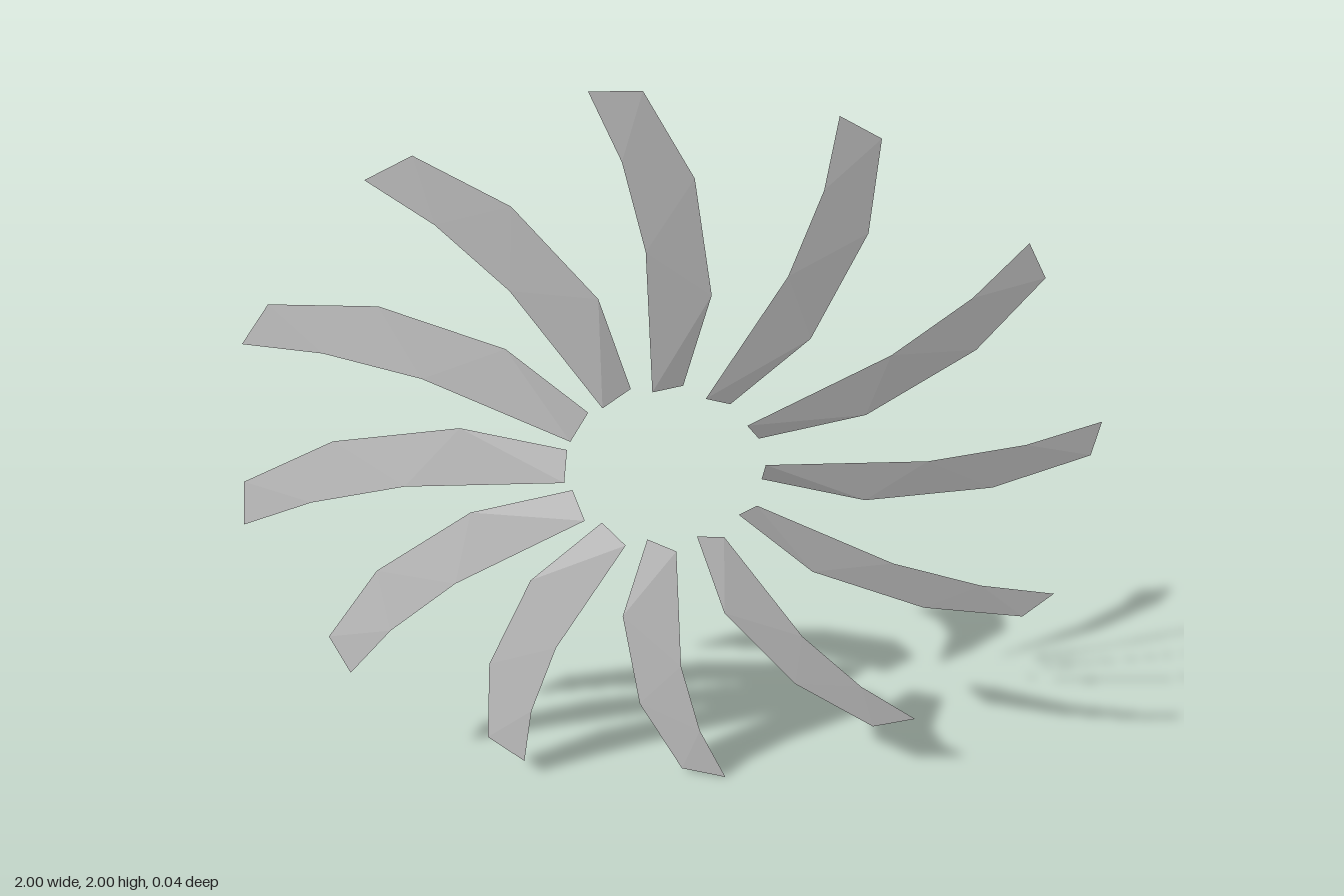
import * as THREE from 'three';

const BLADES = 12;

// Cross-sections from root to tip: leading edge then trailing edge, each [x, y, z]
const SECTIONS = [
  [[-0.028, 0.235, 0.018], [0.042, 0.228, -0.018]],
  [[-0.041, 0.610, 0.018], [0.104, 0.475, -0.018]],
  [[-0.090, 0.833, 0.018], [0.064, 0.773, -0.018]],
  [[-0.158, 1.000, 0.018], [-0.045, 0.990, -0.003]],
];

// Thin, pitched and swept blade: a faceted strip through the sections
function bladeGeometry() {
  const points = [];
  for (let i = 0; i < SECTIONS.length - 1; i++) {
    const [a, b] = SECTIONS[i];
    const [c, d] = SECTIONS[i + 1];
    points.push(...a, ...b, ...d, ...a, ...d, ...c);
  }
  const geometry = new THREE.BufferGeometry();
  geometry.setAttribute('position', new THREE.Float32BufferAttribute(points, 3));
  geometry.computeVertexNormals();
  return geometry;
}

export function createModel() {
  const model = new THREE.Group();
  model.name = 'fanWheel';
  const material = new THREE.MeshStandardMaterial({
    color: 0xcccccc, flatShading: true, side: THREE.DoubleSide,
  });
  const geometry = bladeGeometry();

  // Ring of blades around the open hub
  for (let i = 0; i < BLADES; i++) {
    const blade = new THREE.Mesh(geometry, material);
    blade.name = `blade${i + 1}`;
    blade.position.y = 1;
    blade.rotation.z = (i / BLADES) * Math.PI * 2;
    model.add(blade);
  }
  return model;
}
